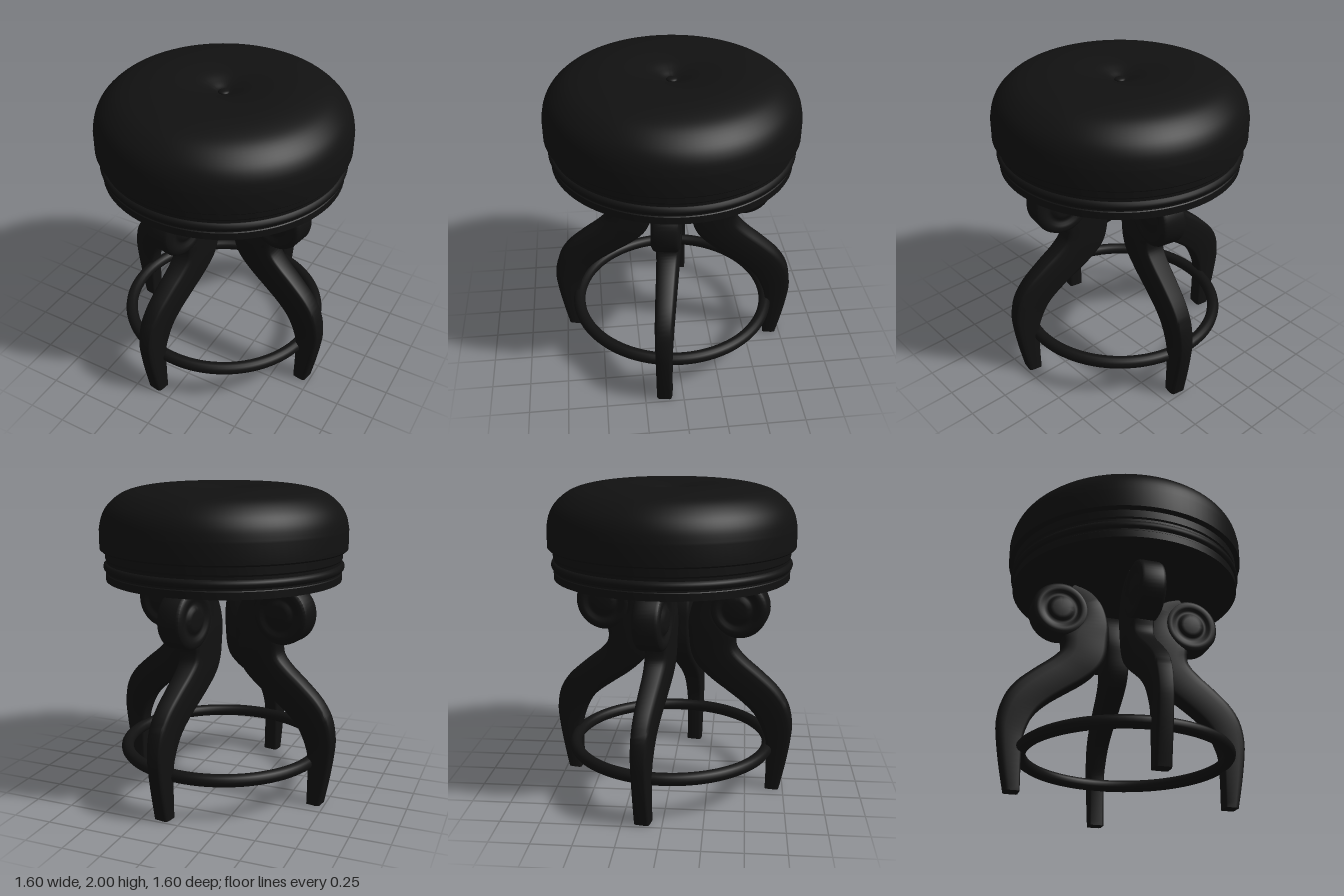
import * as THREE from 'three';
import { toCreasedNormals } from 'three/addons/utils/BufferGeometryUtils.js';

const material = new THREE.MeshStandardMaterial({ color: 0x111111 });
const vec = ([x, y]) => new THREE.Vector2(x, y);

function part(name, geometry) {
  const mesh = new THREE.Mesh(geometry, material);
  mesh.name = name;
  return mesh;
}

// Turned part: control points are [radius, height], bottom to top
function turned(points, segments, crease = 0.6) {
  return toCreasedNormals(new THREE.LatheGeometry(points.map(vec), segments), crease);
}

// Leg stations from foot to scroll: inner edge, outer edge (radius, height), half width
const LEG = [
  [0.65, 0, 0.74, 0, 0.05],
  [0.652, 0.15, 0.775, 0.17, 0.05],
  [0.65, 0.29, 0.8, 0.33, 0.051],
  [0.635, 0.38, 0.807, 0.45, 0.053],
  [0.58, 0.5, 0.78, 0.58, 0.058],
  [0.5, 0.585, 0.71, 0.69, 0.062],
  [0.4, 0.66, 0.6, 0.79, 0.066],
  [0.28, 0.745, 0.5, 0.87, 0.07],
  [0.19, 0.83, 0.437, 0.935, 0.075],
  [0.145, 0.92, 0.42, 0.99, 0.078],
  [0.13, 1.04, 0.42, 1.07, 0.08],
  [0.13, 1.15, 0.33, 1.17, 0.082],
  [0.17, 1.28, 0.32, 1.25, 0.082],
  [0.25, 1.37, 0.36, 1.31, 0.082],
  [0.36, 1.41, 0.42, 1.34, 0.08],
];

// Half cross-section: [fraction from inner to outer edge, fraction of half width]
const HALF = [[0, 0.75], [0.03, 0.9], [0.1, 1], [0.7, 1], [0.88, 0.94], [0.97, 0.82], [1, 0.68]];
const SECTION = [...HALF, ...HALF.map(([u, s]) => [u, -s]).reverse()];

function legGeometry() {
  const inner = new THREE.SplineCurve(LEG.map(s => vec([s[0], s[1]])));
  const outer = new THREE.SplineCurve(LEG.map(s => vec([s[2], s[3]])));
  const width = new THREE.SplineCurve(LEG.map((s, i) => vec([i, s[4]])));
  const rows = 56, n = SECTION.length;
  const positions = [], index = [];
  for (let i = 0; i <= rows; i++) {
    const t = i / rows;
    const a = inner.getPoint(t), b = outer.getPoint(t), w = width.getPoint(t).y;
    for (const [u, s] of SECTION) {
      const p = a.clone().lerp(b, u);
      positions.push(p.x, p.y, s * w);
    }
  }
  for (let i = 0; i < rows; i++) {
    for (let j = 0; j < n; j++) {
      const a = i * n + j, b = i * n + (j + 1) % n;
      index.push(a, b, b + n, a, b + n, a + n);
    }
  }
  // End caps
  const top = rows * n;
  for (let k = 1; k < n - 1; k++) {
    index.push(0, k + 1, k, top, top + k, top + k + 1);
  }
  const geometry = new THREE.BufferGeometry();
  geometry.setAttribute('position', new THREE.Float32BufferAttribute(positions, 3));
  geometry.setIndex(index);
  return toCreasedNormals(geometry, 0.7);
}

// Scroll drum with a grooved face and a raised eye on both sides
function scrollGeometry() {
  const face = [
    [0, 0.09], [0.055, 0.09], [0.075, 0.086], [0.087, 0.074], [0.1, 0.07], [0.115, 0.073],
    [0.13, 0.083], [0.145, 0.087], [0.165, 0.085], [0.182, 0.075], [0.19, 0.058],
  ];
  const profile = [...face.map(([r, h]) => [r, -h]), ...face.reverse()];
  return turned(profile, 48).rotateX(Math.PI / 2);
}

export function createModel() {
  const model = new THREE.Group();
  model.name = 'stool';

  // Padded cushion with a dimpled top
  const crown = new THREE.SplineCurve([
    [0.79, 1.73], [0.772, 1.81], [0.73, 1.88], [0.65, 1.945], [0.55, 1.98], [0.42, 1.999],
    [0.3, 1.997], [0.17, 1.98], [0.09, 1.955], [0.04, 1.935], [0, 1.93],
  ].map(vec)).getPoints(44).map(p => [Math.max(p.x, 0), p.y]);
  model.add(part('cushion', turned(
    [[0, 1.6], [0.78, 1.6], [0.79, 1.61], ...crown], 96)));

  const button = part('cushionButton', new THREE.SphereGeometry(0.035, 24, 12));
  button.scale.y = 0.4;
  button.position.y = 1.935;
  model.add(button);

  // Round seat frame with a bead
  model.add(part('seatFrame', turned([
    [0, 1.41], [0.755, 1.41], [0.755, 1.455], [0.75, 1.46], [0.75, 1.54], [0.757, 1.55],
    [0.757, 1.605], [0, 1.605],
  ], 96)));
  const bead = part('frameBead', new THREE.TorusGeometry(0.742, 0.028, 12, 96));
  bead.rotation.x = Math.PI / 2;
  bead.position.y = 1.497;
  model.add(bead);

  // Four scrolled legs, turned slightly off the axes
  const legShape = legGeometry(), scrollShape = scrollGeometry();
  for (let i = 0; i < 4; i++) {
    const leg = new THREE.Group();
    leg.name = `leg${i + 1}`;
    const scroll = part('legScroll', scrollShape);
    scroll.position.set(0.448, 1.22, 0);
    leg.add(part('legBody', legShape), scroll);
    leg.rotation.y = -Math.PI / 18 + i * Math.PI / 2;
    model.add(leg);
  }

  // Foot ring
  const ring = part('footRing', new THREE.TorusGeometry(0.65, 0.04, 16, 96));
  ring.rotation.x = Math.PI / 2;
  ring.position.y = 0.275;
  model.add(ring);

  return model;
}
